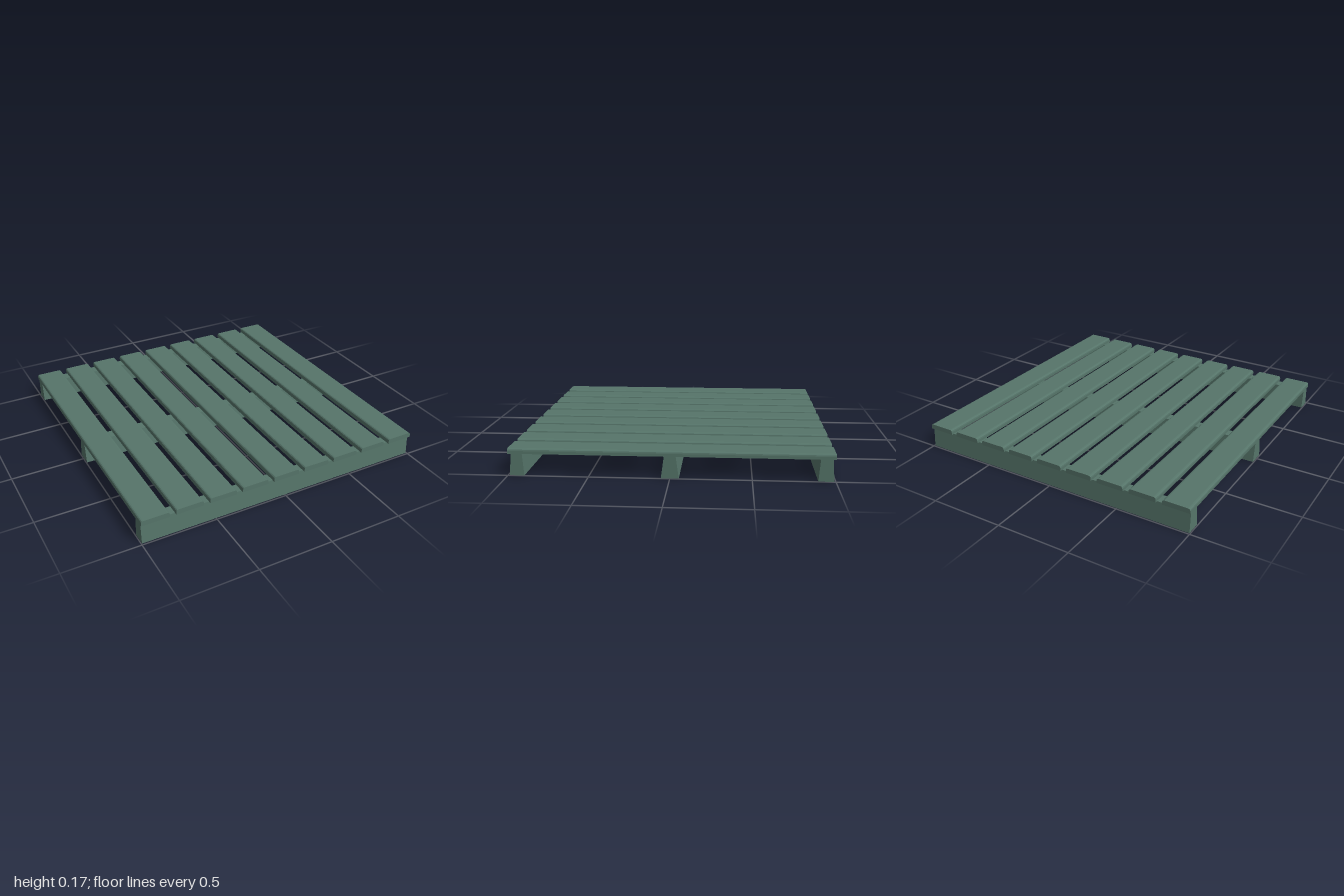
import * as THREE from 'three';

const green = new THREE.MeshStandardMaterial({ color: 0x56756a });
green.name = 'weathered green wood';

// Extrude a cross-section along z, centred on z = 0
function extrude(shape, length) {
  const g = new THREE.ExtrudeGeometry(shape, { depth: length, bevelEnabled: false, curveSegments: 3 });
  return g.translate(0, 0, -length / 2);
}

// Deck board section: flat underside, eased top edges
function slatShape(w, h, r) {
  const s = new THREE.Shape();
  const a = w / 2;
  s.moveTo(-a, 0);
  s.lineTo(a, 0);
  s.lineTo(a, h - r);
  s.quadraticCurveTo(a, h, a - r, h);
  s.lineTo(-a + r, h);
  s.quadraticCurveTo(-a, h, -a, h - r);
  s.closePath();
  return s;
}

// Runner section: wider at the foot than at the deck
function runnerShape(bottom, top, h) {
  return new THREE.Shape([
    new THREE.Vector2(-bottom / 2, 0),
    new THREE.Vector2(bottom / 2, 0),
    new THREE.Vector2(top / 2, h),
    new THREE.Vector2(-top / 2, h),
  ]);
}

export function createModel() {
  const model = new THREE.Group();
  model.name = 'slattedPallet';

  // Nine deck boards running front to back
  const slatGeo = extrude(slatShape(0.184, 0.034, 0.016), 1.995);
  for (let i = 0; i < 9; i++) {
    const slat = new THREE.Mesh(slatGeo, green);
    slat.name = 'deckSlat' + (i + 1);
    slat.position.set((i - 4) * 0.2265, 0.138, 0);
    model.add(slat);
  }

  // Three runners across the underside
  const runners = [
    ['frontRunner', 0.943, 0.09, 0.07],
    ['middleRunner', 0, 0.11, 0.072],
    ['backRunner', -0.943, 0.096, 0.074],
  ];
  for (const [name, z, bottom, top] of runners) {
    const runner = new THREE.Mesh(extrude(runnerShape(bottom, top, 0.139), 1.99), green);
    runner.name = name;
    runner.rotation.y = Math.PI / 2;
    runner.position.z = z;
    model.add(runner);
  }

  return model;
}
